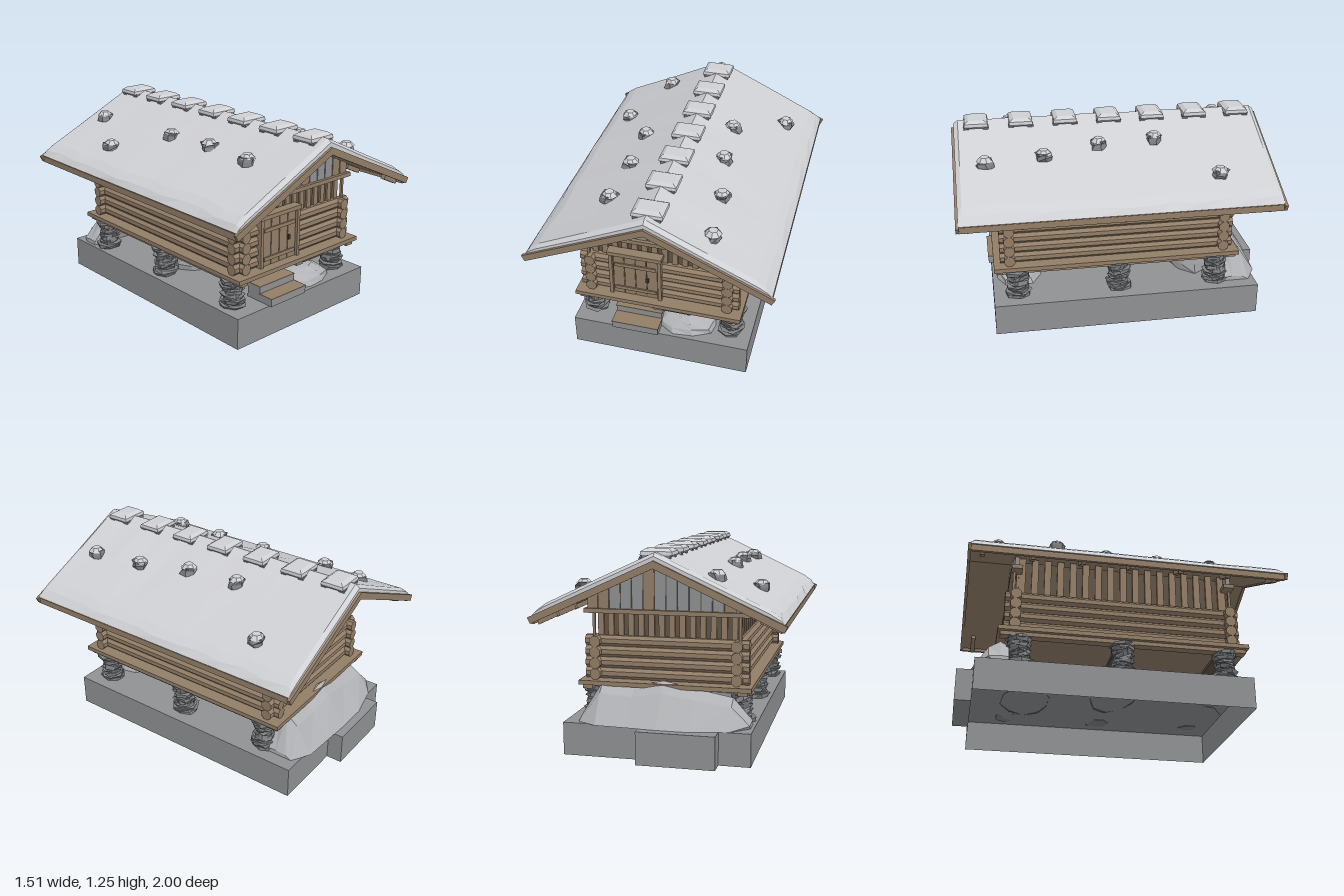
import * as THREE from 'three';
import { mergeGeometries } from 'three/addons/utils/BufferGeometryUtils.js';

const SLOPE = 0.455, TILT = Math.atan(SLOPE);
const hash = (n) => { const s = Math.sin(n) * 43758.5453; return s - Math.floor(s); };

// Gives every facet its own normal
function facet(g) {
  const out = g.index ? g.toNonIndexed() : g;
  out.computeVertexNormals();
  return out;
}

// Pushes vertices about by a rule that depends only on their position
function roughen(g, amount, seed = 0) {
  const p = g.attributes.position;
  for (let i = 0; i < p.count; i++) {
    const k = Math.round(p.getX(i) * 500) * 1.37 + Math.round(p.getY(i) * 500) * 2.71 + Math.round(p.getZ(i) * 500) * 3.93 + seed;
    p.setXYZ(i, p.getX(i) + (hash(k) - 0.5) * amount, p.getY(i) + (hash(k + 5) - 0.5) * amount * 0.6, p.getZ(i) + (hash(k + 9) - 0.5) * amount);
  }
  return facet(g);
}

// Skins closed rings of equal length; caps fan out from each ring's first point
function loft(rings) {
  const n = rings[0].length, idx = [];
  for (let r = 0; r < rings.length - 1; r++) {
    for (let i = 0; i < n; i++) {
      const a = r * n + i, b = r * n + (i + 1) % n;
      idx.push(a, b, a + n, b, b + n, a + n);
    }
  }
  const last = (rings.length - 1) * n;
  for (let i = 1; i < n - 1; i++) idx.push(0, i + 1, i, last, last + i, last + i + 1);
  const g = new THREE.BufferGeometry();
  g.setAttribute('position', new THREE.Float32BufferAttribute(rings.flat(2), 3));
  g.setIndex(idx);
  return facet(g);
}

// Roof-shaped band: apex height, half width, thickness, extruded from z0 to z1
function chevron(apex, half, t, z0, z1) {
  const low = apex - half * SLOPE, dx = t * 0.4;
  const s = new THREE.Shape([[0, apex], [-half, low], [-half + dx, low - t + dx * SLOPE], [0, apex - t], [half - dx, low - t + dx * SLOPE], [half, low]].map((p) => new THREE.Vector2(...p)));
  return new THREE.ExtrudeGeometry(s, { depth: z1 - z0, bevelEnabled: false }).translate(0, 0, z0);
}

export function createModel() {
  const root = new THREE.Group();
  const mat = (name, color) => Object.assign(new THREE.MeshStandardMaterial({ color }), { name });
  const wood = mat('wood', 0x937e68), darkWood = mat('dark wood', 0x615445), grayWood = mat('weathered boards', 0x8f9192);
  const stone = mat('base stone', 0x8f9193), rock = mat('rock', 0x808285), paleStone = mat('pale stone', 0xb0b2b5);
  const snow = mat('snow', 0xcfd0d4), iron = mat('iron', 0x3a3836);
  stone.side = THREE.DoubleSide;

  const add = (name, geo, m, parent = root) => {
    const mesh = new THREE.Mesh(geo, m);
    mesh.name = name;
    parent.add(mesh);
    return mesh;
  };
  // Box given by its limits on each axis
  const box = (x0, x1, y0, y1, z0, z1) => new THREE.BoxGeometry(x1 - x0, y1 - y0, z1 - z0).translate((x0 + x1) / 2, (y0 + y1) / 2, (z0 + z1) / 2);

  // Ground shell, open underneath, with a projection behind
  const shell = box(-0.55, 0.585, 0, 0.2, -0.9, 0.8);
  shell.setIndex([...shell.index.array].filter((v, i) => i < 18 || i >= 24));
  shell.clearGroups();
  add('base', shell, stone);
  add('baseProjection', box(-0.36, 0.11, 0, 0.2, -1, -0.9), stone);

  // Low mounds under the house
  [[0.16, 0.63, 0.2, 0.15, 0.1, paleStone], [-0.08, 0.01, 0.28, 0.16, 0.09, stone], [0.1, -0.54, 0.26, 0.16, 0.1, stone]].forEach(([x, z, rx, rz, h, m], i) => {
    const g = roughen(new THREE.SphereGeometry(1, 10, 4, 0, Math.PI * 2, 0, Math.PI / 2), 0.16, i);
    add('mound', facet(g.scale(rx, h, rz).translate(x, 0.197, z)), m);
  });

  // Bank leaning on the back wall, with a plain face under the floor
  const bank = [[-0.53, 0.03, -0.8], [-0.42, 0.17, -0.9], [-0.2, 0.21, -0.95], [0, 0.25, -0.95], [0.18, 0.21, -0.94], [0.38, 0.23, -0.93], [0.5, 0.03, -0.86]];
  add('backBank', loft(bank.map(([x, h, z]) => [[x, 0.201, z], [x, 0.2 + h * 0.75, -0.82], [x, 0.2 + h, -0.75], [x, 0.2 + h * 0.85, -0.7], [x, 0.201, -0.7]])), paleStone);
  add('bankFace', box(-0.4, 0.4, 0.2, 0.385, -0.702, -0.695), stone);

  // Dry stone pillars
  for (const x of [-0.45, 0.45]) for (const z of [0.645, 0, -0.64]) {
    const discs = [];
    for (let i = 0; i < 10; i++) {
      const k = i + x * 31 + z * 17, r = 0.068 + 0.018 * ((i - 4.5) / 4.5) ** 2;
      const g = new THREE.CylinderGeometry(r, r * 0.92, 0.023, 7).rotateY(k * 2.3);
      g.translate((hash(k) - 0.5) * 0.016, 0.212 + i * 0.0189, (hash(k + 3) - 0.5) * 0.016);
      discs.push(roughen(g, 0.022, k));
    }
    add('stonePillar', mergeGeometries(discs).translate(x, 0, z), rock);
  }

  // Floor and its beams
  add('floor', box(-0.53, 0.53, 0.405, 0.432, -0.775, 0.79), wood);
  for (const x of [-0.475, 0, 0.475]) add('floorBeam', box(x - 0.03, x + 0.03, 0.38, 0.406, -0.76, 0.775), wood);
  for (const z of [-0.64, 0, 0.645]) add('crossBeam', box(-0.5, 0.5, 0.385, 0.406, z - 0.04, z + 0.04), darkWood);
  add('threshold', box(0.03, 0.21, 0.39, 0.406, 0.7, 0.78), darkWood);

  // Log walls crossing at the corners
  add('wallCore', box(-0.422, 0.422, 0.43, 0.93, -0.662, 0.675), darkWood);
  const log = (len) => facet(new THREE.CylinderGeometry(0.0355, 0.0355, len, 8).rotateY(Math.PI / 8));
  for (let i = 0; i < 4; i++) {
    const y = 0.466 + i * 0.067;
    for (const z of [0.69, -0.675]) add('crossLog', log(1.01).rotateZ(Math.PI / 2).translate(0, y, z), wood);
    for (const x of [-0.435, 0.435]) add('sideLog', log(1.49).rotateX(Math.PI / 2).translate(x, y, 0.005), wood);
  }

  // Upright slats above the logs
  for (let i = 0; i < 14; i++) {
    const x = -0.4125 + i * 0.0635;
    for (const z of [0.68, -0.667]) add('endSlat', box(x - 0.018, x + 0.018, 0.69, 0.84, z - 0.008, z + 0.008), wood);
  }
  for (let i = 0; i < 17; i++) {
    const z = -0.64 + i * 0.081;
    for (const x of [-0.428, 0.428]) add('sideSlat', box(x - 0.008, x + 0.008, 0.69, 0.95, z - 0.021, z + 0.021), wood);
  }
  for (const x of [-0.45, 0.45]) for (const z of [-0.69, 0.705]) add('cornerPost', box(x - 0.008, x + 0.008, 0.69, 0.84, z - 0.008, z + 0.008), wood);

  // Gables: boards cut to the roof slope over a tie beam
  for (const s of [1, -1]) {
    const z = s > 0 ? 0.69 : -0.677;
    const gable = new THREE.Group();
    gable.name = s > 0 ? 'frontGable' : 'backGable';
    root.add(gable);
    const top = (x) => 1.152 - Math.abs(x) * SLOPE;
    const plank = (x0, x1, t, m, name) => {
      const pts = [[x0, 0.86], [x1, 0.86], [x1, top(x1)]];
      if (x0 < 0 && x1 > 0) pts.push([0, top(0)]);
      pts.push([x0, top(x0)]);
      const g = new THREE.ExtrudeGeometry(new THREE.Shape(pts.map((p) => new THREE.Vector2(...p))), { depth: t, bevelEnabled: false });
      add(name, g.translate(0, 0, z - t / 2), m, gable);
    };
    plank(-0.48, 0.48, 0.016, darkWood, 'gableBacking');
    for (let i = 0; i < 14; i++) {
      const x = -0.494 + i * 0.0706;
      plank(x + 0.003, x + 0.0665, 0.03, [1, 8, 12, 13].includes(i) ? wood : grayWood, 'gableBoard');
    }
    add('tieBeam', box(-0.51, 0.51, 0.837, 0.864, z - 0.035, z + 0.035), wood, gable);
  }

  // Door with frame, battens and handle
  const door = new THREE.Group();
  door.name = 'door';
  root.add(door);
  add('doorBacking', box(-0.29, 0.005, 0.432, 0.74, 0.69, 0.726), darkWood, door);
  for (let i = 0; i < 4; i++) add('doorBoard', box(-0.285 + i * 0.071, -0.219 + i * 0.071, 0.435, 0.735, 0.7, 0.732), wood, door);
  for (const y of [0.48, 0.665]) add('doorBatten', box(-0.278, -0.014, y - 0.012, y + 0.012, 0.73, 0.74), wood, door);
  for (const x of [-0.301, 0.011]) add('doorPost', box(x - 0.011, x + 0.011, 0.432, 0.745, 0.69, 0.745), wood, door);
  add('lintel', box(-0.32, 0.027, 0.74, 0.766, 0.69, 0.752), wood, door);
  add('handle', box(-0.077, -0.06, 0.56, 0.59, 0.73, 0.745), iron, door);

  // Entrance steps
  [[0.2, 0.252, 0.71, 0.81], [0.2, 0.3, 0.61, 0.71]].forEach(([y0, y1, z0, z1]) => {
    add('stepBlock', box(-0.287, 0.012, y0, y1 - 0.006, z0, z1 + 0.007), stone);
    add('stepTread', box(-0.29, 0.015, y1 - 0.007, y1, z0 - 0.002, z1 + 0.01), wood);
  });

  // Roof deck, barge boards, fascias and rafter ends
  add('roofDeck', chevron(1.178, 0.735, 0.028, -0.968, 0.978), wood);
  add('frontBarge', chevron(1.185, 0.757, 0.045, 0.978, 0.997), wood);
  add('backBarge', chevron(1.185, 0.757, 0.045, -0.988, -0.968), wood);
  for (const s of [-1, 1]) {
    add('fascia', box(-0.009, 0.009, 0.802, 0.841, -0.97, 0.98).translate(s * 0.729, 0, 0), wood);
    for (let i = 0; i < 7; i++) {
      add('rafterEnd', new THREE.BoxGeometry(0.135, 0.03, 0.03).rotateZ(-s * TILT).translate(s * 0.66, 0.831, -0.9 + i * 0.303), wood);
    }
  }

  // Snow cover with an uneven lower edge and rounded ends
  const rings = [];
  for (let i = 0; i <= 14; i++) {
    const end = i === 0 || i === 14;
    const z = i === 0 ? -0.972 : end ? 0.982 : -0.945 + (i - 1) * 0.1583;
    const lift = end ? 0.026 : 0.043;
    const side = (s) => {
      const e = end ? 0.715 : 0.69 + hash(i * 3.1 + s) * 0.032;
      return [[0.739, 0.004], [e, lift * 0.7], [e - 0.055, lift], [0.36, lift + hash(i * 7 + s) * 0.006]].map(([x, h]) => [s * x, 1.178 - x * SLOPE + h, z]);
    };
    rings.push([[0, 1.175, z], ...side(1), [0, 1.182 + lift + hash(i) * 0.007, z], ...side(-1).reverse()]);
  }
  add('roofSnow', loft(rings), snow);

  // Ridge slabs with softly domed tops, bedded on small stones
  for (let i = 0; i < 7; i++) {
    const z = -0.838 + i * 0.28;
    const rect = (w, d, y) => [[-w, y, z - d], [-w, y, z + d], [w, y, z + d], [w, y, z - d]];
    add('ridgeSlab', loft([rect(0.088, 0.068, 1.2), rect(0.095, 0.075, 1.21), rect(0.092, 0.072, 1.23), rect(0.068, 0.048, 1.246)]), snow);
    for (const x of [-0.06, 0.06]) for (const s of [-1, 1]) add('ridgeStone', box(x - 0.022, x + 0.022, 1.185, 1.209, z + s * 0.06 - 0.018, z + s * 0.06 + 0.018), rock);
  }

  // Weighting stones with snow caps
  [[-0.33, -0.795], [-0.535, -0.435], [-0.31, -0.085], [-0.3, 0.27], [-0.32, 0.625], [0.535, -0.615], [0.235, -0.26], [0.255, 0.095], [0.325, 0.445], [0.355, 0.805]].forEach(([x, z], i) => {
    const y = 1.234 - Math.abs(x) * SLOPE;
    const body = roughen(new THREE.CylinderGeometry(0.8, 0.95, 1.5, 6, 2), 0.4, i).scale(0.058, 0.032, 0.058);
    add('roofStone', facet(body.rotateY(i).translate(x, y, z)), rock);
    const cap = new THREE.CylinderGeometry(0.028, 0.052, 0.026, 7).rotateY(i * 1.7);
    add('stoneSnow', facet(cap.translate(x, y + 0.029, z)), snow);
  });

  return root;
}
